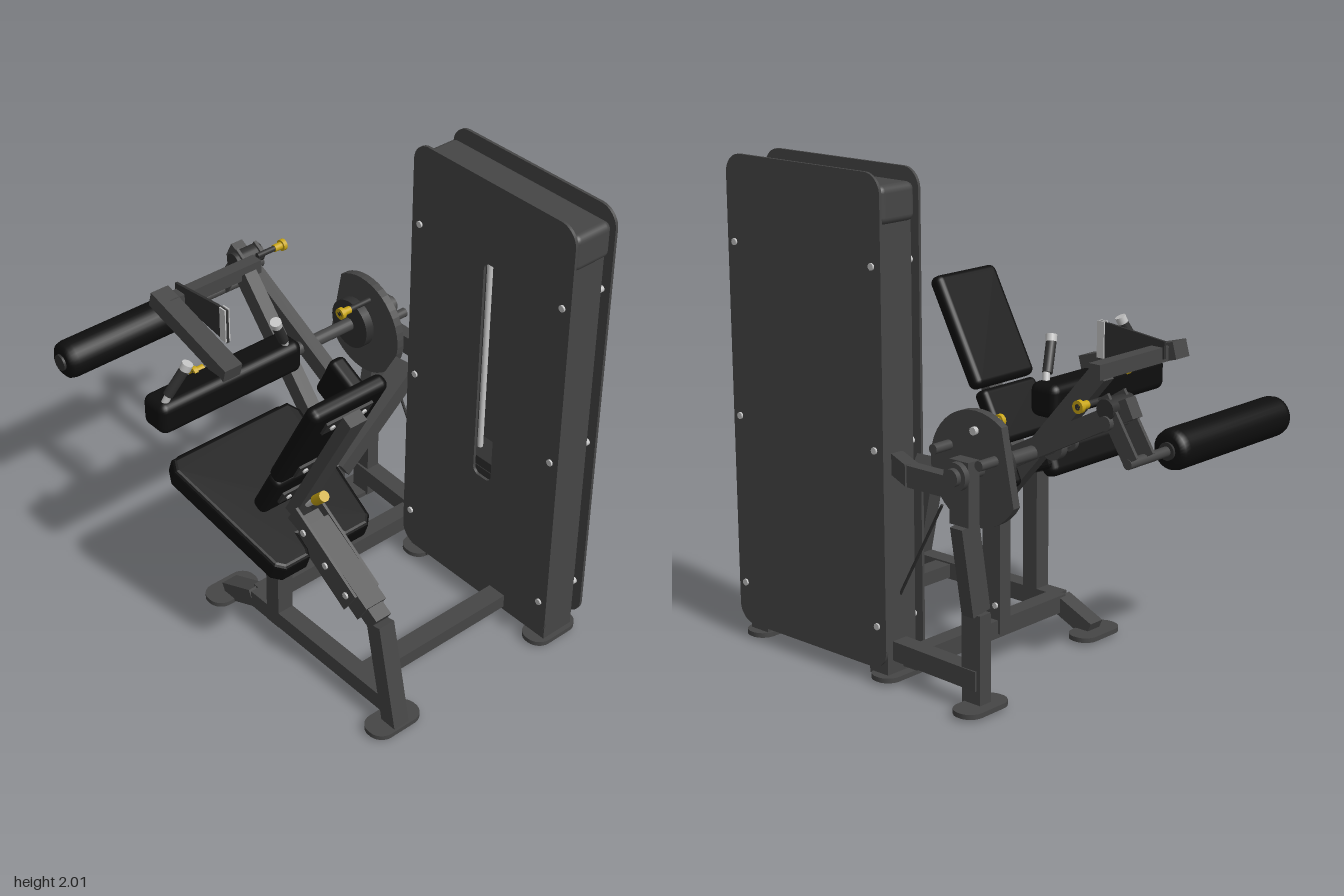
import * as THREE from 'three';
import { RoundedBoxGeometry } from 'three/addons/geometries/RoundedBoxGeometry.js';

const colour = (name, hex) => {
  const m = new THREE.MeshStandardMaterial({ color: hex });
  m.name = name;
  return m;
};

export function createModel() {
  const model = new THREE.Group();
  model.name = 'legCurlMachine';
  const frame = colour('frameGrey', 0x464646);
  const black = colour('padBlack', 0x0e0e0e);
  const dark = colour('darkSteel', 0x303030);
  const silver = colour('silver', 0xc4c4c4);
  const yellow = colour('knobYellow', 0xc8a514);
  const V = (p) => new THREE.Vector3(...p);

  const add = (name, geo, mat, pos = [0, 0, 0], parent = model) => {
    const m = new THREE.Mesh(geo, mat);
    m.name = name;
    m.position.set(...pos);
    parent.add(m);
    return m;
  };
  const box = (name, size, pos, mat = frame, parent = model) =>
    add(name, new THREE.BoxGeometry(...size), mat, pos, parent);
  const pad = (name, size, pos, r = 0.03, mat = black, parent = model) =>
    add(name, new RoundedBoxGeometry(...size, 3, r), mat, pos, parent);
  // Box tube between two points, w across and h deep
  const beam = (name, a, b, w, h = w, mat = frame) => {
    const p = V(a), q = V(b);
    const m = add(name, new THREE.BoxGeometry(w, h, p.distanceTo(q)), mat, p.clone().add(q).multiplyScalar(0.5).toArray());
    m.lookAt(q);
    return m;
  };
  const path = (name, pts, w, h) => pts.slice(1).forEach((p, i) => beam(name, pts[i], p, w, h));
  // Round bar between two points
  const rod = (name, a, b, r, mat = frame, sides = 20) => {
    const p = V(a), q = V(b);
    const m = add(name, new THREE.CylinderGeometry(r, r, p.distanceTo(q), sides), mat, p.clone().add(q).multiplyScalar(0.5).toArray());
    m.quaternion.setFromUnitVectors(new THREE.Vector3(0, 1, 0), q.sub(p).normalize());
    return m;
  };
  const roundRect = (x0, y0, x1, y1, r, T = THREE.Shape) => {
    const s = new T();
    s.absarc(x1 - r, y0 + r, r, -Math.PI / 2, 0);
    s.absarc(x1 - r, y1 - r, r, 0, Math.PI / 2);
    s.absarc(x0 + r, y1 - r, r, Math.PI / 2, Math.PI);
    s.absarc(x0 + r, y0 + r, r, Math.PI, Math.PI * 1.5);
    s.closePath();
    return s;
  };
  // Plate drawn in (z, y), standing across x
  const sidePlate = (name, shape, x, t, mat = frame) => {
    const g = new THREE.ExtrudeGeometry(shape, { depth: t, bevelEnabled: false, curveSegments: 16 });
    g.rotateY(-Math.PI / 2);
    return add(name, g, mat, [x + t / 2, 0, 0]);
  };
  const foot = (x, z) => {
    const g = new THREE.ExtrudeGeometry(roundRect(-0.12, -0.065, 0.12, 0.065, 0.06), { depth: 0.02, bevelEnabled: false });
    add('foot', g.rotateX(-Math.PI / 2), frame, [x, 0, z]);
  };

  // Weight tower: side panels, columns and cap
  const inner = roundRect(0.05, 0.055, 0.9, 2, 0.08);
  inner.holes.push(roundRect(0.45, 0.65, 0.55, 1.65, 0.03, THREE.Path));
  sidePlate('innerPanel', inner, 0.41, 0.012);
  sidePlate('outerPanel', roundRect(0.05, 0.055, 0.9, 2, 0.08), 0.615, 0.012);
  for (const z of [0.825, 0.125]) box('towerColumn', [0.155, 1.85, 0.1], [0.51, 0.935, z]);
  pad('towerCap', [0.19, 0.15, 0.83], [0.512, 1.875, 0.475], 0.03, frame);
  box('towerBase', [0.15, 0.06, 0.7], [0.51, 0.1, 0.475]);
  for (let i = 0; i < 12; i++) box('weightPlate', [0.11, 0.042, 0.4], [0.51, 0.16 + i * 0.046, 0.48], dark);
  for (const z of [0.38, 0.6]) rod('guideRod', [0.51, 0.1, z], [0.51, 1.82, z], 0.012, silver);
  for (const z of [0.86, 0.095]) for (const y of [1.65, 0.94, 0.23]) {
    rod('panelBolt', [0.396, y, z], [0.629, y, z], 0.014, silver, 10);
  }
  for (const z of [0.83, 0.1]) foot(0.505, z);

  // Base frame and legs
  foot(-0.34, 0.81);
  foot(-0.34, -0.2);
  foot(0.55, -0.38);
  path('frontLeg', [[-0.34, 0.01, 0.83], [-0.34, 0.47, 0.73], [-0.34, 0.72, 0.3]], 0.075);
  beam('legSleeve', [-0.34, 0.5, 0.68], [-0.34, 0.7, 0.34], 0.1);
  path('seatRail', [[-0.34, 0.1, 0.8], [-0.34, 0.1, -0.02], [-0.34, 0.02, -0.2]], 0.075);
  beam('seatPost', [-0.34, 0.06, 0.12], [-0.34, 0.68, 0.12], 0.075);
  beam('frontCrossRail', [-0.34, 0.1, 0.625], [0.45, 0.1, 0.625], 0.085, 0.06);
  beam('rearCrossRail', [-0.34, 0.1, -0.01], [0.55, 0.1, -0.01], 0.075);
  beam('sideRail', [0.54, 0.115, -0.38], [0.52, 0.115, 0.1], 0.075, 0.08);
  path('rearPost', [[0.54, 0.01, -0.35], [0.54, 0.38, -0.35], [0.6, 0.74, -0.35], [0.6, 0.99, -0.35]], 0.06, 0.095);
  path('towerBrace', [[0.6, 0.875, -0.37], [0.6, 0.875, -0.08], [0.52, 0.875, 0.08]], 0.055, 0.085);
  beam('centrePost', [0.05, 0.08, -0.01], [0.05, 0.67, -0.01], 0.062, 0.095);
  beam('centreArm', [0.05, 0.6, 0.02], [0.05, 1.25, -0.55], 0.06, 0.08);
  beam('diagonalBrace', [0.05, 0.6, 0.02], [0.48, 0.88, -0.03], 0.1, 0.075);
  for (const y of [0.2, 0.61]) rod('postBolt', [0.01, y, -0.035], [0.09, y, -0.035], 0.013, silver, 8);

  // Thigh pad carrier
  beam('carrierCrossbar', [-0.34, 1.265, -0.565], [0.12, 1.265, -0.565], 0.055, 0.06);
  beam('carrierArm', [-0.34, 1.28, -0.62], [-0.34, 1.15, -0.15], 0.085, 0.07);
  pad('thighPad', [0.7, 0.14, 0.14], [-0.33, 1.07, -0.22], 0.035);
  const quadrant = new THREE.Shape([[-0.27, 1.2], [-0.27, 1.35], [-0.33, 1.35], [-0.6, 1.32], [-0.6, 1.25]].map(p => new THREE.Vector2(...p)));
  sidePlate('adjusterPlate', quadrant, -0.265, 0.012, dark);
  for (const x of [-0.256, -0.274]) box('adjusterScale', [0.006, 0.15, 0.035], [x, 1.28, -0.288], silver);
  rod('adjusterPin', [-0.38, 1.13, -0.28], [-0.26, 1.13, -0.28], 0.012, silver);

  // Grab handles, mirrored about the seat centre line
  for (const s of [-1, 1]) {
    const at = (x, y, z) => [-0.34 + s * x, y, z];
    rod('handleStem', at(0.31, 1.1, -0.2), at(0.285, 1.17, -0.18), 0.015, silver);
    rod('handleGrip', at(0.285, 1.165, -0.185), at(0.22, 1.285, -0.15), 0.021, dark);
    rod('handleTip', at(0.225, 1.275, -0.152), at(0.215, 1.302, -0.145), 0.023, silver);
  }

  // Seat: tapered pad with a notch at the back, tilted
  const seat = new THREE.Group();
  seat.name = 'seat';
  seat.position.set(-0.34, 0.715, 0.11);
  seat.rotation.x = 0.35;
  model.add(seat);
  const half = [[0.09, -0.28], [0.1, -0.3], [0.2, -0.3], [0.225, -0.275], [0.3, 0.26], [0.28, 0.3]];
  const outline = [...half, ...half.map(([x, y]) => [-x, y]).reverse(), [-0.08, -0.2], [0.08, -0.2]];
  const seatGeo = new THREE.ExtrudeGeometry(new THREE.Shape(outline.map(p => new THREE.Vector2(...p))),
    { depth: 0.06, bevelSize: 0.018, bevelThickness: 0.018, bevelSegments: 3 });
  add('seatPad', seatGeo.rotateX(-Math.PI / 2), black, [0, -0.03, 0], seat);
  pad('seatLip', [0.56, 0.13, 0.08], [0, -0.02, -0.29], 0.035, black, seat);
  box('seatPlate', [0.3, 0.015, 0.4], [0, -0.055, -0.03], dark, seat);

  // Backrest: two pads on a leaning spine
  const back = new THREE.Group();
  back.name = 'backrest';
  back.position.set(-0.34, 0.77, 0.185);
  back.rotation.x = 0.49;
  model.add(back);
  pad('lowerBackPad', [0.33, 0.24, 0.07], [0, 0.12, 0], 0.025, black, back);
  pad('upperBackPad', [0.36, 0.5, 0.07], [0, 0.5, 0], 0.03, black, back);
  box('backSpine', [0.08, 0.8, 0.05], [0, 0.29, 0.07], frame, back);
  for (const y of [0.11, 0.32, 0.65]) {
    box('backBracket', [0.22, 0.07, 0.012], [0, y, 0.04], dark, back);
    for (const x of [-0.075, 0.075]) {
      rod('backBolt', [x, y, 0.04], [x, y, 0.054], 0.012, silver, 10);
      back.add(model.children.at(-1));
    }
  }
  for (const x of [-0.395, -0.285]) {
    beam('backHingePlate', [x, 0.52, 0.62], [x, 0.74, 0.27], 0.012, 0.12);
    for (const [y, z] of [[0.55, 0.6], [0.62, 0.48], [0.7, 0.35]]) rod('hingeBolt', [x - 0.014, y, z], [x + 0.014, y, z], 0.014, silver, 8);
  }
  rod('backKnobStem', [-0.34, 0.78, 0.3], [-0.34, 0.84, 0.36], 0.012, silver);
  rod('backKnob', [-0.34, 0.83, 0.35], [-0.34, 0.88, 0.4], 0.022, yellow);

  // Pivot shaft, bearings and cam
  rod('pivotShaft', [0.03, 0.935, -0.355], [0.67, 0.935, -0.355], 0.028);
  for (const [a, b, r] of [[0.085, 0.12, 0.055], [0.0, 0.02, 0.04], [0.635, 0.66, 0.055], [0.66, 0.682, 0.035], [0.44, 0.48, 0.11]]) {
    rod('bearing', [a, 0.935, -0.355], [b, 0.935, -0.355], r, r > 0.1 ? dark : frame, 24);
  }
  const cam = new THREE.Shape();
  cam.absarc(-0.33, 0.93, 0.225, -2.6, 2.2);
  sidePlate('camDisc', cam, 0.505, 0.035);
  rod('camStop', [0.5, 1.08, -0.335], [0.54, 1.08, -0.335], 0.016, silver, 10);
  rod('camPeg', [0.5, 1.0, -0.2], [0.61, 1.0, -0.2], 0.02);
  rod('camPeg', [0.5, 0.98, -0.43], [0.61, 0.98, -0.43], 0.02);
  rod('cable', [0.51, 0.75, -0.15], [0.51, 0.3, 0.1], 0.006, dark, 8);

  // Swing arm with counterweight and ankle roller
  beam('swingArm', [0.2, 0.82, -0.1], [0.2, 1.19, -0.82], 0.058, 0.08);
  const weight = pad('counterweight', [0.08, 0.22, 0.17], [0.205, 0.84, -0.14], 0.025);
  weight.rotation.x = 0.46;
  for (const x of [0.155, 0.25]) beam('rollerLink', [x, 1.22, -0.71], [x, 1.0, -0.85], 0.014, 0.07);
  rod('linkPivot', [0.12, 1.13, -0.745], [0.28, 1.13, -0.745], 0.028);
  rod('linkHub', [0.13, 1.18, -0.74], [0.27, 1.18, -0.74], 0.04, dark);
  rod('rollerShaft', [-0.3, 0.99, -0.84], [0.26, 0.99, -0.84], 0.02);
  const r = [[0, -0.35], [0.055, -0.35], [0.075, -0.335], [0.081, -0.31], [0.081, 0.31], [0.075, 0.335], [0.055, 0.35], [0, 0.35]];
  const roller = add('ankleRoller', new THREE.LatheGeometry(r.map(p => new THREE.Vector2(...p)), 32), black, [-0.33, 0.99, -0.84]);
  roller.rotation.z = Math.PI / 2;
  for (const x of [-0.684, 0.024]) rod('rollerCap', [x - 0.006, 0.99, -0.84], [x + 0.006, 0.99, -0.84], 0.035, dark);

  // Yellow pull knobs on stems
  const knob = (x0, x1, y, z) => {
    const d = Math.sign(x1 - x0);
    rod('knobStem', [x0, y, z], [x1, y, z], 0.012, dark);
    rod('knobGrip', [x1 - d * 0.055, y, z], [x1, y, z], 0.016, yellow);
    rod('knobHead', [x1 - d * 0.018, y, z], [x1, y, z], 0.025, yellow);
  };
  knob(0.22, 0.365, 1.2, -0.69);
  knob(0.5, 0.325, 1.07, -0.285);
  knob(-0.3, -0.44, 1.13, -0.28);
  return model;
}
